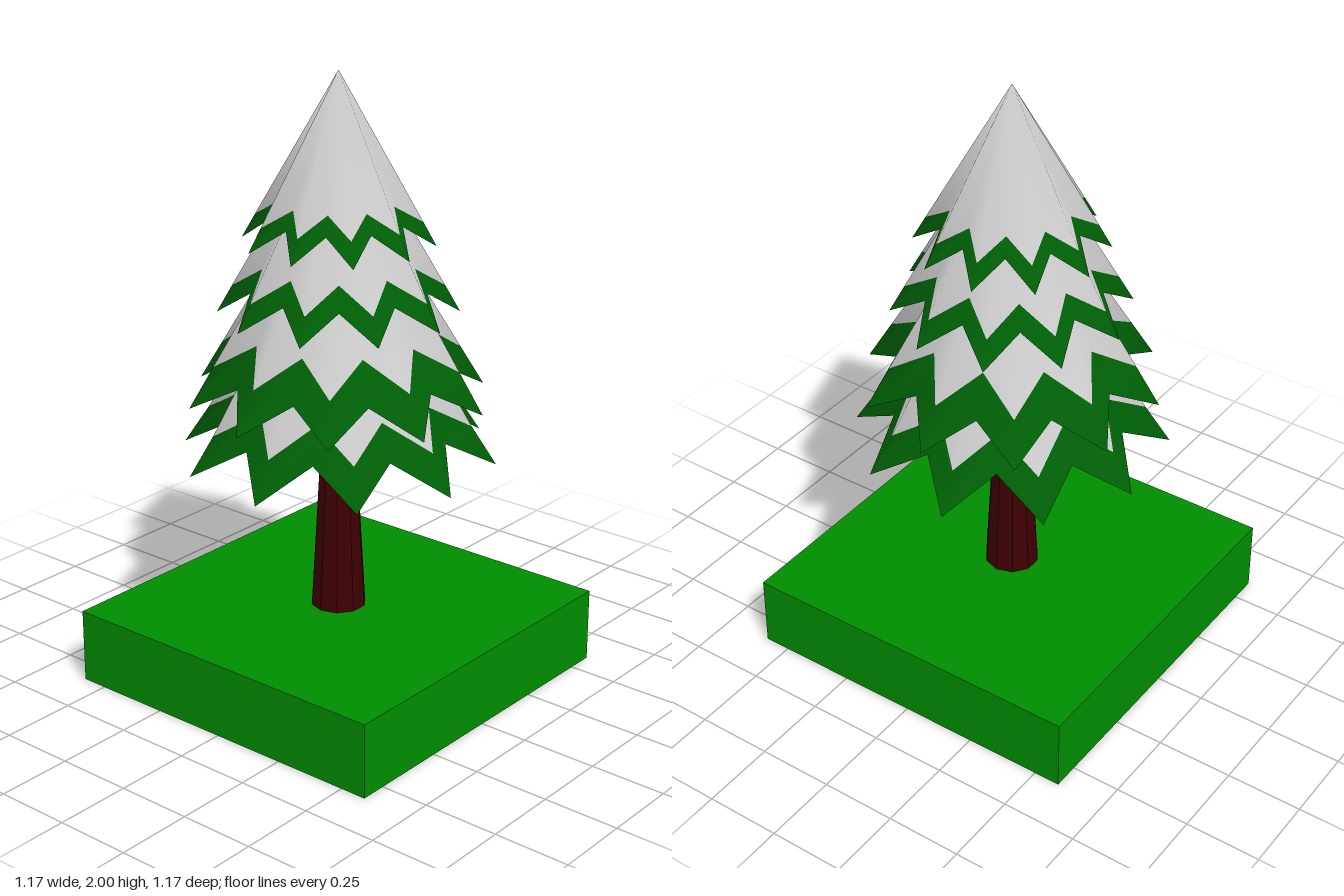
import * as THREE from 'three';

const TEETH = 10;
const snow = new THREE.MeshStandardMaterial({ color: 0xcccccc });
const needles = new THREE.MeshStandardMaterial({ color: 0x006006, side: THREE.DoubleSide });
const lining = new THREE.MeshStandardMaterial({ color: 0x006006 });
const bark = new THREE.MeshStandardMaterial({ color: 0x3e0002, flatShading: true });
const grass = new THREE.MeshStandardMaterial({ color: 0x008e00 });

// Zigzag ring: points alternate between tip and valley, each given as [radius, height]
function zigzag(tip, valley, turn) {
  const ring = [];
  for (let i = 0; i < TEETH * 2; i++) {
    const [r, y] = i % 2 ? valley : tip;
    const a = THREE.MathUtils.degToRad(turn + i * 180 / TEETH);
    ring.push(r * Math.cos(a), y, r * Math.sin(a));
  }
  return ring;
}

function geometryFrom(points, index) {
  const geo = new THREE.BufferGeometry();
  geo.setAttribute('position', new THREE.Float32BufferAttribute(points, 3));
  geo.setIndex(index);
  geo.computeVertexNormals();
  return geo;
}

// Pleated cone from an apex down to a ring, facing outward or inward
function cone(apex, ring, inward = false) {
  const n = TEETH * 2, index = [];
  for (let i = 1; i <= n; i++) {
    const j = i % n + 1;
    if (inward) index.push(0, i, j);
    else index.push(0, j, i);
  }
  return geometryFrom([0, apex, 0, ...ring], index);
}

// Band between two rings
function band(upper, lower) {
  const n = TEETH * 2, index = [];
  for (let i = 0; i < n; i++) {
    const j = (i + 1) % n;
    index.push(i, j, n + j, i, n + j, n + i);
  }
  return geometryFrom([...upper, ...lower], index);
}

function part(name, geometry, material) {
  const mesh = new THREE.Mesh(geometry, material);
  mesh.name = name;
  return mesh;
}

// One tier: snowy pleated cone, green toothed hem, green inside
function tier({ name, turn, apex, snowTip, snowValley, hemTip, hemValley }) {
  const group = new THREE.Group();
  group.name = name;
  const snowEdge = zigzag(snowTip, snowValley, turn);
  const hemEdge = zigzag(hemTip, hemValley, turn);
  group.add(
    part('snowCap', cone(apex, snowEdge), snow),
    part('branchLining', cone(apex - 0.004, snowEdge, true), lining),
    part('needleHem', band(snowEdge, hemEdge), needles)
  );
  return group;
}

export function createModel() {
  const model = new THREE.Group();
  model.name = 'snowyTree';

  // Square grass slab
  const slab = part('grassSlab', new THREE.BoxGeometry(1.175, 0.245, 1.175), grass);
  slab.position.y = 0.1225;
  model.add(slab);

  // Tapered ten-sided trunk
  const trunk = part('trunk', new THREE.CylinderGeometry(0.029, 0.09, 1.06, 10), bark);
  trunk.position.y = 0.24 + 0.53;
  model.add(trunk);

  // Tiers from bottom to top
  const tiers = [
    { name: 'bottomTier', turn: 8, apex: 1.63, snowTip: [0.425, 0.89], snowValley: [0.32, 0.98], hemTip: [0.505, 0.768], hemValley: [0.38, 0.87] },
    { name: 'lowerTier', turn: 18, apex: 1.757, snowTip: [0.4, 1.09], snowValley: [0.295, 1.18], hemTip: [0.478, 0.96], hemValley: [0.365, 1.05] },
    { name: 'upperTier', turn: -4, apex: 1.9, snowTip: [0.33, 1.325], snowValley: [0.245, 1.4], hemTip: [0.378, 1.24], hemValley: [0.285, 1.325] },
    { name: 'topTier', turn: 6, apex: 2, snowTip: [0.262, 1.54], snowValley: [0.19, 1.6], hemTip: [0.304, 1.465], hemValley: [0.22, 1.54] }
  ];
  tiers.forEach((t) => model.add(tier(t)));
  return model;
}
